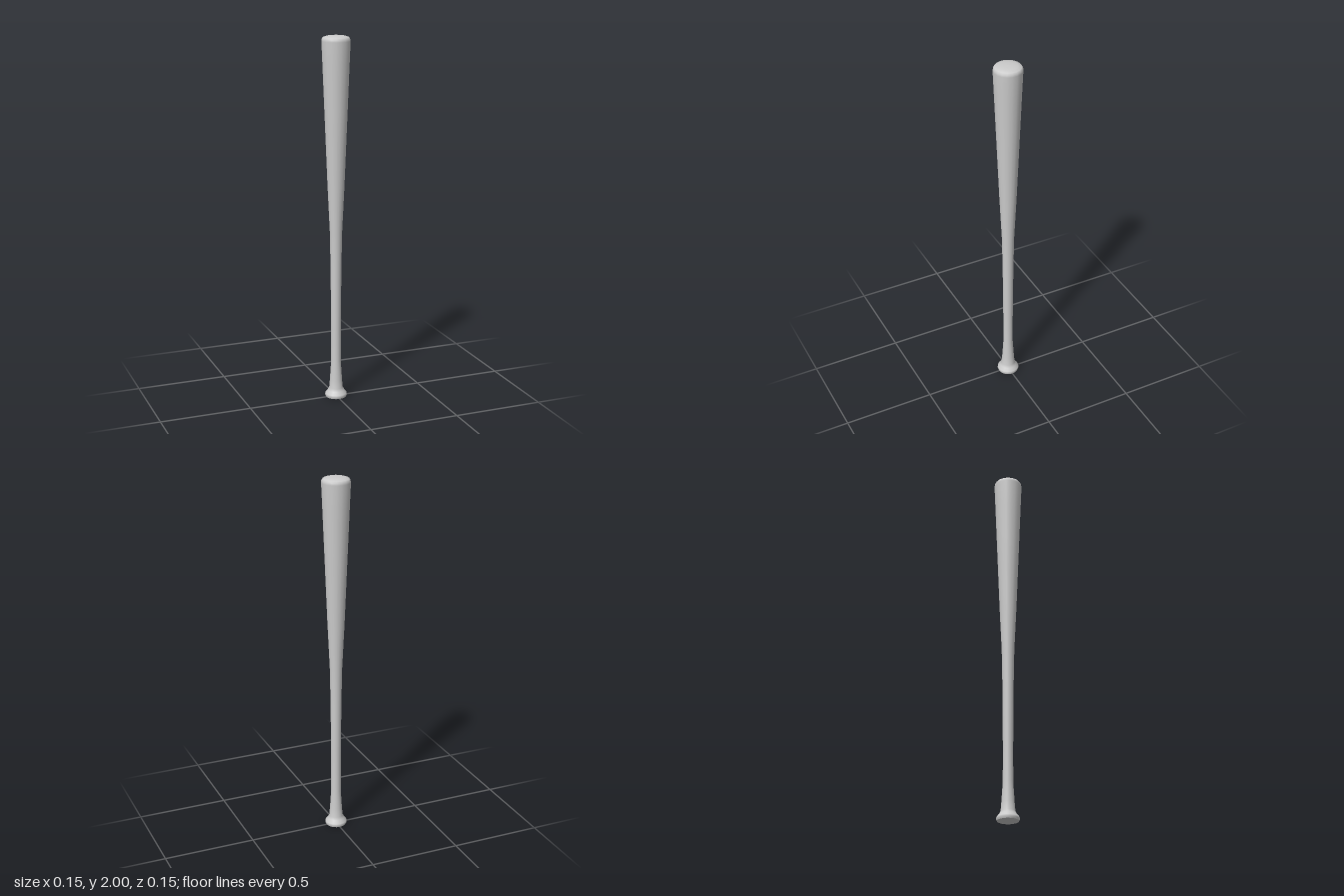
import * as THREE from 'three';

export function createModel() {
  const group = new THREE.Group();
  group.name = 'bat';
  const material = new THREE.MeshStandardMaterial({ color: 0xcccccc });
  const sides = 18;

  // Turned body: [radius, height] from knob to rounded tip
  const profile = [
    [0.057, 0], [0.061, 0.01], [0.059, 0.02], [0.046, 0.036], [0.038, 0.052],
    [0.034, 0.1], [0.027, 0.21], [0.027, 0.4], [0.03, 0.75], [0.034, 0.95],
    [0.046, 1.2], [0.062, 1.6], [0.072, 1.85], [0.077, 1.97],
    [0.075, 1.982], [0.069, 1.991], [0.05, 1.997], [0.025, 1.9995], [0, 2],
  ].map(([r, y]) => new THREE.Vector2(r, y));
  const body = new THREE.Mesh(new THREE.LatheGeometry(profile, sides), material);
  body.name = 'batBody';
  group.add(body);

  // Flat underside of the knob
  const base = new THREE.Mesh(new THREE.CircleGeometry(0.057, sides, Math.PI / 2), material);
  base.rotation.x = Math.PI / 2;
  base.name = 'knobBase';
  group.add(base);

  return group;
}
